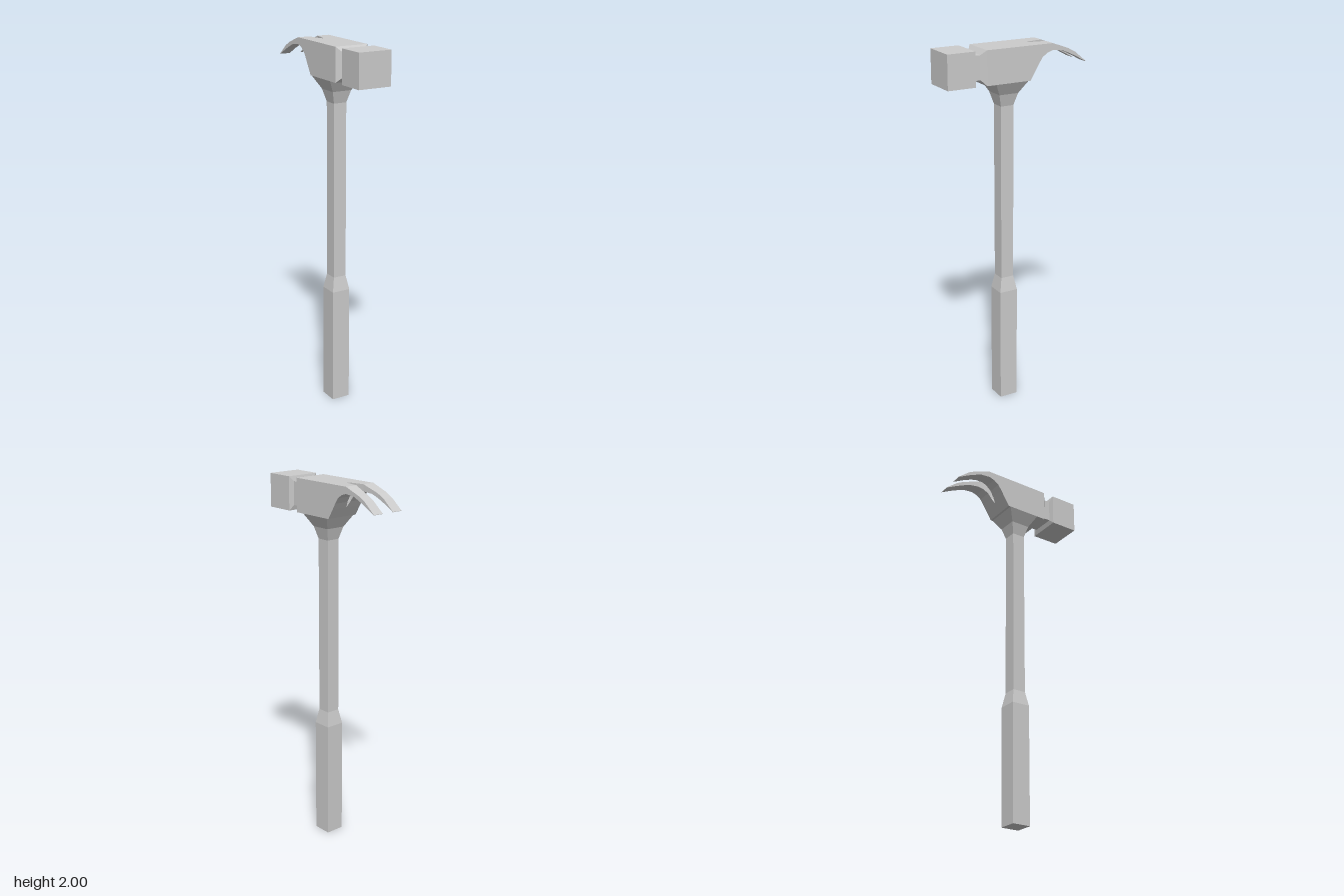
import * as THREE from 'three';

const material = new THREE.MeshStandardMaterial({ color: 0xcccccc, flatShading: true });

// Skin four-cornered rings, counterclockwise seen from the end, and cap both ends.
function loft(name, rings) {
  const positions = [];
  const quad = (a, b, c, d) => positions.push(...a, ...b, ...c, ...a, ...c, ...d);
  for (let r = 0; r < rings.length - 1; r++) {
    const a = rings[r], b = rings[r + 1];
    for (let i = 0; i < 4; i++) {
      const j = (i + 1) % 4;
      quad(a[i], a[j], b[j], b[i]);
    }
  }
  quad(...[...rings[0]].reverse());
  quad(...rings[rings.length - 1]);
  return meshFrom(name, positions);
}

function meshFrom(name, positions) {
  const geometry = new THREE.BufferGeometry();
  geometry.setAttribute('position', new THREE.Float32BufferAttribute(positions, 3));
  geometry.computeVertexNormals();
  const mesh = new THREE.Mesh(geometry, material);
  mesh.name = name;
  return mesh;
}

// Upright rectangle at depth z, for parts running towards +z.
const upright = (x0, x1, y0, y1, z) => [[x0, y0, z], [x1, y0, z], [x1, y1, z], [x0, y1, z]];

// Level square of half-width h at height y, for parts running upwards.
const level = (h, y) => [[h, y, h], [h, y, -h], [-h, y, -h], [-h, y, h]];

export function createModel() {
  const hammer = new THREE.Group();
  hammer.name = 'hammer';

  // Handle: thick grip, slim shaft and a collar flaring into the head
  const handle = new THREE.Group();
  handle.name = 'handle';
  handle.position.z = 0.038;
  handle.add(
    loft('grip', [level(0.052, 0), level(0.052, 0.65), level(0.037, 0.73)]),
    loft('shaft', [level(0.037, 0.73), level(0.037, 1.69)]),
    loft('collar', [level(0.037, 1.69), level(0.055, 1.755), level(0.093, 1.82)]),
  );
  hammer.add(handle);

  // Head: body, pinched neck and square striking face
  const head = new THREE.Group();
  head.name = 'head';
  const W = 0.093, N = 0.065, MID = 1.91;
  const square = (h, z) => upright(-h, h, MID - h * 0.97, MID + h * 0.97, z);
  head.add(
    loft('headBody', [
      upright(-W, W, 1.872, 2, -0.1),
      upright(-W, W, 1.82, 2, -0.068),
      upright(-W, W, 1.82, 2, 0.183),
    ]),
    loft('neck', [square(W, 0.183), square(N, 0.206), square(N, 0.24), square(W, 0.247)]),
    loft('strikingFace', [square(W, 0.247), square(W, 0.403)]),
  );

  // Claw: [z, underside y, top y, half-width of the slot] from tip to root
  const claw = [
    [-0.403, 1.886, 1.888, 0.034],
    [-0.337, 1.922, 1.942, 0.035],
    [-0.295, 1.942, 1.965, 0.034],
    [-0.257, 1.958, 1.979, 0.0305],
    [-0.2, 1.964, 2, 0.024],
    [-0.17, 1.955, 2, 0.019],
    [-0.14, 1.935, 2, 0.0135],
    [-0.12, 1.905, 2, 0.01],
    [-0.1, 1.872, 2, 0],
  ];
  for (const [name, side] of [['leftClaw', 1], ['rightClaw', -1]]) {
    head.add(loft(name, claw.map(([z, y0, y1, slot]) => {
      const [x0, x1] = side > 0 ? [slot, W] : [-W, -slot];
      return upright(x0, x1, y0, y1, z);
    })));
  }

  // Sloping facet at the root of the slot
  head.add(meshFrom('slotRoot', [0, 2, -0.1, 0.01, 1.905, -0.12, -0.01, 1.905, -0.12]));
  hammer.add(head);

  return hammer;
}
